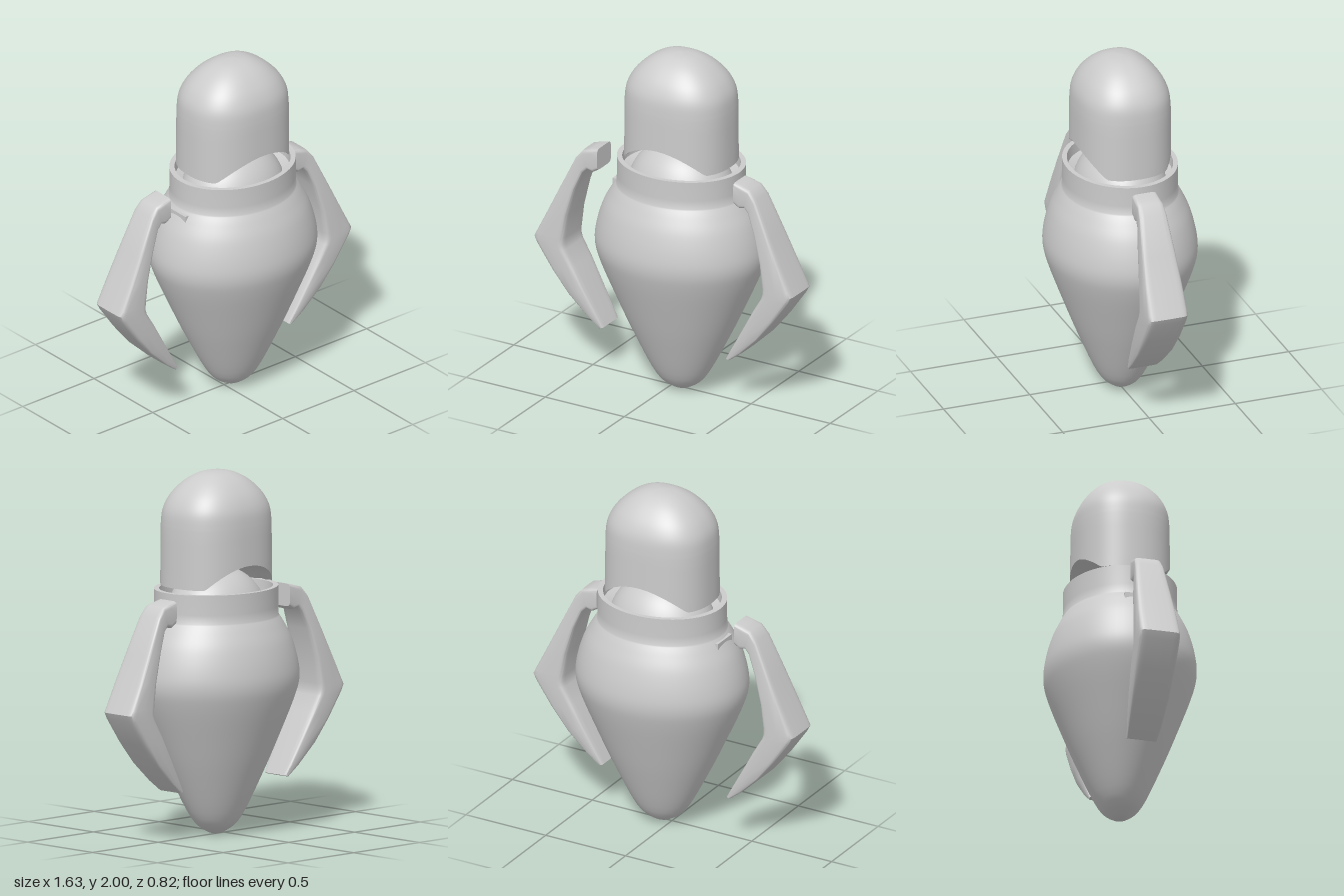
import * as THREE from 'three';
import { toCreasedNormals } from 'three/addons/utils/BufferGeometryUtils.js';

const material = new THREE.MeshStandardMaterial({ color: 0xcccccc });
const DEPTH = 0.837; // front-to-back squash of the oval body
const CX = 0.06; // body axis
const DOME_Y = 1.167;

function part(name, geometry, crease = 0.6) {
  const mesh = new THREE.Mesh(toCreasedNormals(geometry, crease), material);
  mesh.name = name;
  return mesh;
}

// Skin a row of equal-sized rings of Vector3 and close both ends.
function loft(rings) {
  const n = rings[0].length, last = rings.length - 1;
  const points = rings.flat(), index = [];
  for (let i = 0; i < last; i++) {
    for (let j = 0; j < n; j++) {
      const k = (j + 1) % n, a = i * n, b = a + n;
      index.push(a + j, a + k, b + k, a + j, b + k, b + j);
    }
  }
  for (const i of [0, last]) {
    const centre = points.length;
    points.push(rings[i].reduce((s, p) => s.add(p), new THREE.Vector3()).divideScalar(n));
    for (let j = 0; j < n; j++) {
      const a = i * n + j, b = i * n + (j + 1) % n;
      if (i) index.push(centre, a, b);
      else index.push(centre, b, a);
    }
  }
  const geometry = new THREE.BufferGeometry().setFromPoints(points);
  geometry.setIndex(index);
  return geometry;
}

// Unit superellipse point: 2 is round, higher is squarer.
function superPoint(angle, power) {
  const f = v => Math.sign(v) * Math.abs(v) ** (2 / power);
  return [f(Math.cos(angle)), f(Math.sin(angle))];
}

// Egg-shaped shell with a raised collar and a recessed neck seat
function makeBody() {
  const belly = new THREE.SplineCurve([
    [0, 0.005], [0.06, 0.022], [0.15, 0.1], [0.28, 0.345], [0.38, 0.56], [0.46, 0.745],
    [0.489, 0.85], [0.48, 0.95], [0.445, 1.065], [0.4, 1.15], [0.367, 1.2],
  ].map(p => new THREE.Vector2(...p))).getPoints(50);
  belly[0].x = 0;
  const collar = [[0.365, 1.25], [0.365, 1.36], [0.335, 1.36], [0.33, 1.3], [0.28, 1.28]]
    .map(p => new THREE.Vector2(...p));
  const geometry = new THREE.LatheGeometry([...belly, ...collar], 72);
  geometry.scale(1, 1, DEPTH);
  return part('body', geometry);
}

// Dome seated inside the collar
function makeNeckDome() {
  const geometry = new THREE.SphereGeometry(0.308, 64, 24, 0, Math.PI * 2, 0, 1.3);
  geometry.scale(1, 1, DEPTH);
  geometry.translate(0, DOME_Y, 0);
  return part('neckDome', geometry);
}

// Capsule head whose underside is hollowed by a front-to-back arch
function makeHead() {
  const arch = x => Math.max(1.38, DOME_Y + Math.sqrt(Math.max(0, 0.333 ** 2 - x * x)));
  const ring = (r, height) => Array.from({ length: 80 }, (_, j) => {
    const [c, s] = superPoint(j / 80 * Math.PI * 2, 2.4);
    const x = r * c;
    return new THREE.Vector3(x, height(x), -r * DEPTH * s);
  });
  const rings = [];
  for (let i = 1; i <= 12; i++) rings.push(ring(0.31 * i / 12, arch));
  for (let i = 1; i <= 4; i++) {
    rings.push(ring(0.31 - 0.0005 * i, x => THREE.MathUtils.lerp(arch(x), 1.7, i / 4)));
  }
  const crown = new THREE.SplineCurve([
    [0.308, 1.7], [0.3, 1.78], [0.276, 1.84], [0.235, 1.895], [0.17, 1.95], [0.09, 1.988], [0.004, 2],
  ].map(p => new THREE.Vector2(...p))).getPoints(24);
  for (const p of crown.slice(1)) rings.push(ring(Math.max(p.x, 0.003), () => p.y));
  return part('head', loft(rings));
}

// Bent arm: each section is outer x, y, inner x, y, half width
function makeArm() {
  const sections = [
    [0.43, 1.325, 0.43, 1.2, 0.072], [0.475, 1.315, 0.462, 1.18, 0.073],
    [0.525, 1.3, 0.495, 1.19, 0.075], [0.567, 1.25, 0.522, 1.165, 0.08],
    [0.663, 1.05, 0.563, 1.065, 0.096], [0.735, 0.9, 0.607, 0.9, 0.108],
    [0.803, 0.765, 0.625, 0.76, 0.114], [0.815, 0.74, 0.626, 0.725, 0.115],
    [0.797, 0.705, 0.618, 0.695, 0.115], [0.7, 0.565, 0.565, 0.605, 0.113],
    [0.6, 0.44, 0.5, 0.485, 0.106], [0.485, 0.33, 0.425, 0.35, 0.093],
    [0.41, 0.272, 0.388, 0.28, 0.083],
  ];
  const rings = sections.map(([ox, oy, ix, iy, w]) => Array.from({ length: 32 }, (_, j) => {
    const [u, v] = superPoint(j / 32 * Math.PI * 2, 7);
    const t = (u + 1) / 2;
    return new THREE.Vector3(ix + (ox - ix) * t, iy + (oy - iy) * t, w * v);
  }));
  return loft(rings);
}

export function createModel() {
  const model = new THREE.Group();

  const torso = new THREE.Group();
  torso.name = 'torso';
  torso.position.x = CX;
  torso.add(makeBody(), makeNeckDome(), makeHead());

  // Ledge where the detached arm would sit
  const ledge = part('armSocketLedge', new THREE.BoxGeometry(0.06, 0.05, 0.15));
  ledge.position.set(-0.362, 1.157, 0);
  torso.add(ledge);
  model.add(torso);

  // The arms match, so the right one is the left turned half round
  const leftArm = part('leftArm', makeArm(), 0.7);
  const rightArm = part('rightArm', makeArm(), 0.7);
  rightArm.rotation.y = Math.PI;
  model.add(leftArm, rightArm);
  return model;
}
